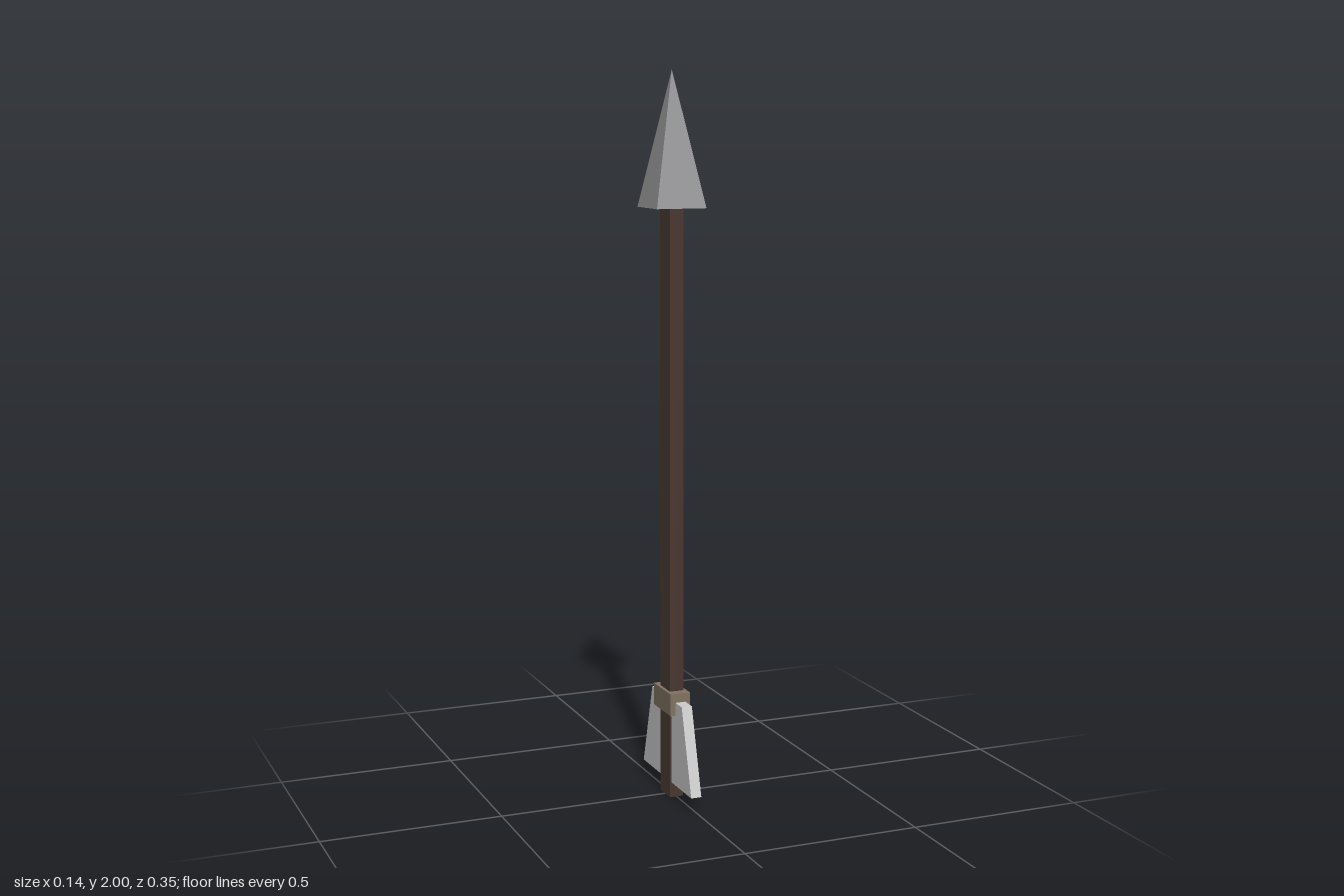
import * as THREE from 'three';

const mat = (name, color) => {
  const m = new THREE.MeshStandardMaterial({ color });
  m.name = name;
  return m;
};

export function createModel() {
  const arrow = new THREE.Group();
  arrow.name = 'arrow';

  const woodSide = mat('brown wood', 0x493e35);
  const woodEdge = mat('reddish wood', 0x48362f);
  const steel = mat('grey steel', 0x929294);
  const feather = mat('pale feather', 0xcccccc);
  const binding = mat('tan binding', 0x827361);

  const add = (name, geometry, material, y) => {
    const mesh = new THREE.Mesh(geometry, material);
    mesh.name = name;
    mesh.position.y = y;
    arrow.add(mesh);
    return mesh;
  };

  // Rectangular shaft, with redder wood on its narrow faces
  add('shaft', new THREE.BoxGeometry(0.04, 1.637, 0.071),
    [woodSide, woodSide, woodEdge, woodEdge, woodEdge, woodEdge], 0.8185);

  // Four-sided pyramid head
  const head = new THREE.ConeGeometry(0.071 * Math.SQRT2, 0.363, 4).rotateY(Math.PI / 4).toNonIndexed();
  head.computeVertexNormals();
  add('arrowHead', head, steel, 1.8185);

  // Binding around the shaft above the feathers
  add('binding', new THREE.BoxGeometry(0.058, 0.062, 0.125), binding, 0.275);

  // Flared feathers at front and back, each rooted inside the shaft
  for (const side of [1, -1]) {
    const shape = new THREE.Shape([
      new THREE.Vector2(0, 0),
      new THREE.Vector2(0.177 * side, 0),
      new THREE.Vector2(0.109 * side, 0.238),
      new THREE.Vector2(0, 0.238),
    ]);
    const fin = new THREE.ExtrudeGeometry(shape, { depth: 0.03, bevelEnabled: false });
    fin.translate(0, 0, -0.015).rotateY(-Math.PI / 2);
    add(side > 0 ? 'frontFeather' : 'backFeather', fin, feather, 0.043);
  }

  return arrow;
}
